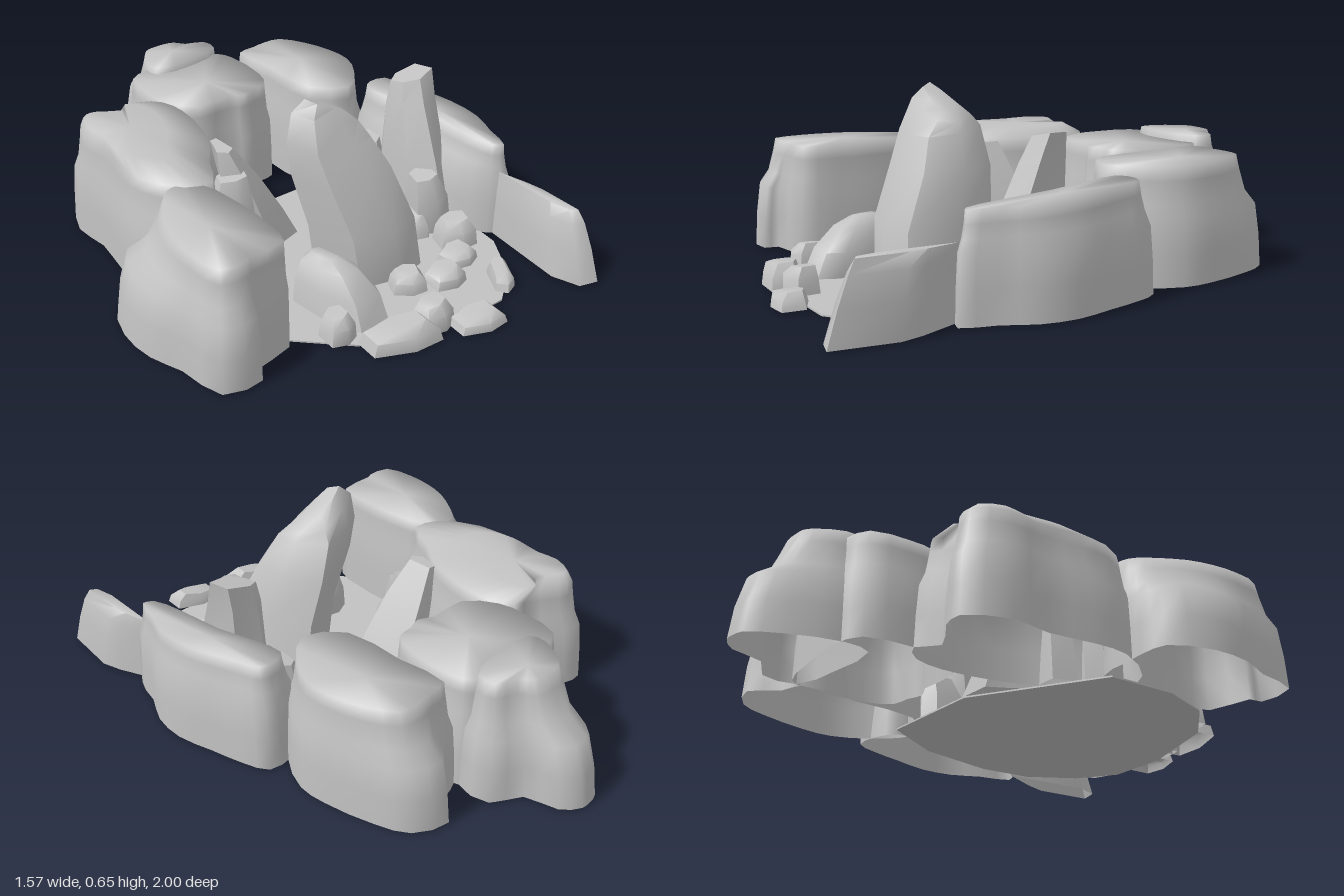
import * as THREE from 'three';
import { toCreasedNormals } from 'three/addons/utils/BufferGeometryUtils.js';

const stone = new THREE.MeshStandardMaterial({ color: 0xc2c2c2, side: THREE.DoubleSide });
stone.name = 'grey stone';

const mean = pts => pts.reduce((s, p) => s.add(p), new THREE.Vector2()).divideScalar(pts.length);
const toPoints = list => list.map(([x, z]) => new THREE.Vector2(x, z));

// Skins stacked rings of [x, y, z]; open below, closed by a fan on top
function skin(name, rings, crease) {
  const n = rings[0].length, idx = [];
  if (THREE.ShapeUtils.area(rings[0].map(([x, , z]) => ({ x, y: z }))) < 0) rings.forEach(r => r.reverse());
  for (let k = 0; k < rings.length - 1; k++) {
    for (let i = 0; i < n; i++) {
      const a = k * n + i, b = k * n + (i + 1) % n;
      idx.push(a, a + n, b, b, a + n, b + n);
    }
  }
  const top = rings[rings.length - 1], base = (rings.length - 1) * n;
  const apex = [0, 1, 2].map(j => top.reduce((s, p) => s + p[j], 0) / n);
  for (let i = 0; i < n; i++) idx.push(base + n, base + (i + 1) % n, base + i);
  const geo = new THREE.BufferGeometry();
  geo.setAttribute('position', new THREE.Float32BufferAttribute([...rings.flat(2), ...apex], 3));
  geo.setIndex(idx);
  const mesh = new THREE.Mesh(toCreasedNormals(geo, crease), stone);
  mesh.name = name;
  return mesh;
}

// Stone from one outline, level by level: [y, scaleX, scaleZ, shiftX, shiftZ, slopeX, slopeZ]
function loft(name, outline, levels, crease = 0.8) {
  const pts = toPoints(outline);
  const c = new THREE.Box2().setFromPoints(pts).getCenter(new THREE.Vector2());
  const rings = levels.map(([y, sx, sz = sx, dx = 0, dz = 0, tx = 0, tz = 0]) => pts.map(p => {
    const x = (p.x - c.x) * sx, z = (p.y - c.y) * sz;
    return [c.x + x + dx, y + tx * x + tz * z, c.y + z + dz];
  }));
  return skin(name, rings, crease);
}

function rounded(pts) {
  const curve = new THREE.CatmullRomCurve3(pts.map(p => new THREE.Vector3(p.x, 0, p.y)), true, 'centripetal');
  return curve.getPoints(pts.length * 2).slice(0, -1).map(p => new THREE.Vector2(p.x, p.z));
}

// Cliff from a foot outline to a flat rim, with a shoulder at about y = 0.25
function cliff(name, foot, rim, h, slopeZ = 0, cap) {
  const a = rounded(toPoints(foot)), b = rounded(toPoints(rim));
  const c = mean(b);
  const profile = [[0.005, 0], [0.12, 0.08], [0.23, 0.25], [0.28, 0.65], [h * 0.88, 0.88], [h, 1]];
  const rings = profile.map(([y, t]) => a.map((p, i) => {
    const q = p.clone().lerp(b[i], t);
    return [q.x, y + slopeZ * t * (q.y - c.y), q.y];
  }));
  if (cap) rings.push(b.map(p => [c.x + (p.x - c.x) * cap.scale + cap.x, cap.y, c.y + (p.y - c.y) * cap.scale + cap.z]));
  return skin(name, rings, Math.PI);
}

// Pulls an outline in toward its middle
function inset(outline, k) {
  const c = mean(toPoints(outline));
  return outline.map(([x, z]) => [c.x + (x - c.x) * k, c.y + (z - c.y) * k]);
}

export function createModel() {
  const model = new THREE.Group();
  model.name = 'rock formation';
  const add = (...args) => model.add(loft(...args));
  const addCliff = (...args) => model.add(cliff(...args));

  // Floor plate, top and underside
  const floor = [[0.04, -0.13], [0.45, -0.13], [0.57, 0.1], [0.61, 0.4], [0.58, 0.6], [0.47, 0.77], [0.33, 0.87],
    [0.1, 0.87], [-0.22, 0.76], [-0.38, 0.6], [-0.44, 0.4], [-0.42, 0.14]];
  add('floor', floor, [[0, 1], [0.006, 1]]);
  add('floorUnderside', floor, [[0, 1]]);

  // Outer cliffs
  const rightBack = [[-0.48, -0.54], [-0.4, -0.53], [-0.27, -0.45], [-0.2, -0.51], [-0.13, -0.45], [-0.11, -0.33],
    [-0.14, -0.15], [-0.19, -0.02], [-0.28, 0.1], [-0.37, 0.25], [-0.48, 0.22], [-0.58, 0.05], [-0.58, -0.08],
    [-0.55, -0.25], [-0.56, -0.4]];
  addCliff('rightBackCliff', rightBack, inset(rightBack, 0.85), 0.4, 0, { y: 0.425, scale: 0.65, x: -0.04, z: -0.07 });
  addCliff('rightFrontCliff',
    [[-0.53, 0.1], [-0.4, 0.12], [-0.36, 0.35], [-0.37, 0.5], [-0.4, 0.63], [-0.56, 0.66], [-0.57, 0.71],
      [-0.71, 0.69], [-0.74, 0.52], [-0.78, 0.4], [-0.78, 0.25], [-0.71, 0.1], [-0.61, 0.09]],
    [[-0.5, 0.13], [-0.42, 0.14], [-0.38, 0.35], [-0.385, 0.5], [-0.41, 0.61], [-0.55, 0.62], [-0.57, 0.63],
      [-0.66, 0.62], [-0.68, 0.5], [-0.67, 0.4], [-0.64, 0.3], [-0.58, 0.2], [-0.54, 0.15]], 0.4);
  const back = [[-0.2, -0.52], [-0.17, -0.68], [-0.06, -0.72], [0.14, -0.7], [0.28, -0.67], [0.31, -0.6], [0.3, -0.38],
    [0.25, -0.28], [0.18, -0.27], [0.12, -0.25], [0.06, -0.28], [-0.1, -0.28], [-0.19, -0.4]];
  addCliff('backCliff', back, inset(back, 0.88), 0.4);
  addCliff('backOuterCliff',
    [[-0.1, -0.7], [-0.04, -0.88], [0.03, -0.99], [0.07, -1], [0.11, -1], [0.17, -0.95], [0.2, -0.83],
      [0.3, -0.77], [0.3, -0.64], [0.12, -0.6], [-0.08, -0.6]],
    [[-0.05, -0.69], [0, -0.78], [0.03, -0.805], [0.07, -0.81], [0.11, -0.81], [0.15, -0.8], [0.18, -0.76],
      [0.25, -0.73], [0.25, -0.66], [0.12, -0.62], [-0.04, -0.63]], 0.425);
  addCliff('leftBackCliff',
    [[0.3, -0.62], [0.38, -0.65], [0.46, -0.74], [0.58, -0.69], [0.63, -0.58], [0.67, -0.39], [0.67, -0.28],
      [0.6, -0.14], [0.46, -0.03], [0.32, -0.15], [0.31, -0.4]],
    [[0.33, -0.59], [0.4, -0.6], [0.47, -0.61], [0.54, -0.6], [0.6, -0.5], [0.63, -0.39], [0.63, -0.28],
      [0.57, -0.17], [0.46, -0.08], [0.34, -0.17], [0.335, -0.4]], 0.405);
  addCliff('leftCliff',
    [[0.5, -0.09], [0.58, -0.14], [0.68, -0.14], [0.72, -0.05], [0.75, 0.08], [0.78, 0.22], [0.765, 0.35],
      [0.71, 0.46], [0.67, 0.58], [0.6, 0.54], [0.54, 0.4], [0.52, 0.2], [0.49, 0.05]],
    [[0.55, -0.07], [0.59, -0.1], [0.66, -0.09], [0.68, -0.02], [0.71, 0.08], [0.735, 0.2], [0.73, 0.34],
      [0.69, 0.44], [0.655, 0.54], [0.62, 0.52], [0.6, 0.4], [0.59, 0.2], [0.56, 0.05]], 0.37, -0.045);
  add('leftFrontSlab', [[0.62, 0.55], [0.68, 0.7], [0.7, 0.78], [0.67, 1], [0.6, 0.98], [0.57, 0.88], [0.6, 0.68]],
    [[0.005, 1], [0.12, 0.85, 0.91, 0, -0.018], [0.21, 0.65, 0.82, 0, -0.035], [0.255, 0.35, 0.77, 0, -0.05]], 1.2);

  // Leaning standing stones
  add('centralStone', [[-0.05, 0.34], [0.06, 0.24], [0.22, 0.17], [0.3, 0.36], [0.27, 0.54], [0.15, 0.57], [0, 0.53]],
    [[0.005, 1], [0.2, 1.01, 0.93, -0.03, -0.005], [0.38, 0.98, 0.76, -0.07, -0.06],
      [0.5, 0.85, 0.6, -0.105, -0.08, 0, -0.1], [0.57, 0.72, 0.4, -0.105, -0.09, -0.3],
      [0.61, 0.45, 0.2, -0.105, -0.085, -0.5]], 0.9);
  add('leftStone', [[0.42, 0.17], [0.47, 0.1], [0.57, 0.14], [0.59, 0.38], [0.5, 0.44], [0.44, 0.32]],
    [[0.005, 1], [0.25, 0.98, 0.75, 0, -0.035], [0.45, 0.9, 0.45, 0.012, -0.075, 0.1],
      [0.535, 0.85, 0.3, 0.025, -0.09, 0.22]], 0.6);
  add('rightStone', [[-0.22, 0.07], [-0.12, -0.06], [-0.08, -0.13], [0.05, -0.13], [0.06, 0.11], [-0.08, 0.15]],
    [[0.005, 1], [0.12, 0.8, 0.85, -0.03], [0.28, 0.5, 0.65, -0.08, -0.01], [0.395, 0.2, 0.4, -0.12, -0.02, 0.1]], 0.6);
  add('frontRightStone', [[-0.23, 0.44], [-0.17, 0.41], [-0.08, 0.43], [-0.02, 0.65], [-0.05, 0.72], [-0.17, 0.72], [-0.22, 0.58]],
    [[0.005, 1], [0.09, 0.9, 0.88, 0, -0.02], [0.16, 0.6, 0.6, -0.01, -0.05], [0.19, 0.25, 0.3, -0.02, -0.07]], 1);

  // Loose shards: [x, z, width, depth, height, turn, lean]
  const shards = [
    [-0.22, 0.07, 0.17, 0.13, 0.31, 0.5, 0.02], [-0.29, 0.18, 0.13, 0.11, 0.22, 0.8, 0.02],
    [-0.24, 0.22, 0.07, 0.07, 0.12, 0.3, 0], [0.43, 0.06, 0.12, 0.18, 0.25, 0.2, 0.02],
    [0.48, 0.36, 0.15, 0.16, 0.22, 0.4, -0.03], [0.4, 0.37, 0.12, 0.13, 0.09, 0.9, 0],
    [0.47, 0.51, 0.15, 0.13, 0.1, 0.5, 0], [0.39, 0.6, 0.14, 0.12, 0.05, 0.1, 0],
    [0.42, 0.78, 0.08, 0.18, 0.05, 0.6, 0], [0.26, 0.67, 0.14, 0.12, 0.06, 0.2, 0], [0.13, 0.62, 0.13, 0.11, 0.07, 0.6, 0],
    [0.17, 0.91, 0.19, 0.12, 0.05, 0.3, 0], [0.05, 0.82, 0.14, 0.12, 0.09, 0.1, 0],
    [-0.1, 0.83, 0.27, 0.13, 0.075, 0.35, 0], [-0.24, 0.68, 0.11, 0.12, 0.09, 0.2, 0],
  ];
  const hex = [[-0.5, -0.25], [-0.1, -0.52], [0.42, -0.4], [0.5, 0.25], [0.1, 0.5], [-0.42, 0.42]];
  for (const [x, z, w, d, h, turn, lean] of shards) {
    const c = Math.cos(turn), s = Math.sin(turn);
    const outline = hex.map(([u, v]) => [x + u * w * c - v * d * s, z + u * w * s + v * d * c]);
    add('shard', outline, [[0.005, 1], [h * 0.65, 0.9, 0.9, lean * 0.5], [h, 0.6, 0.6, lean, -0.01, 0.15]]);
  }
  return model;
}
